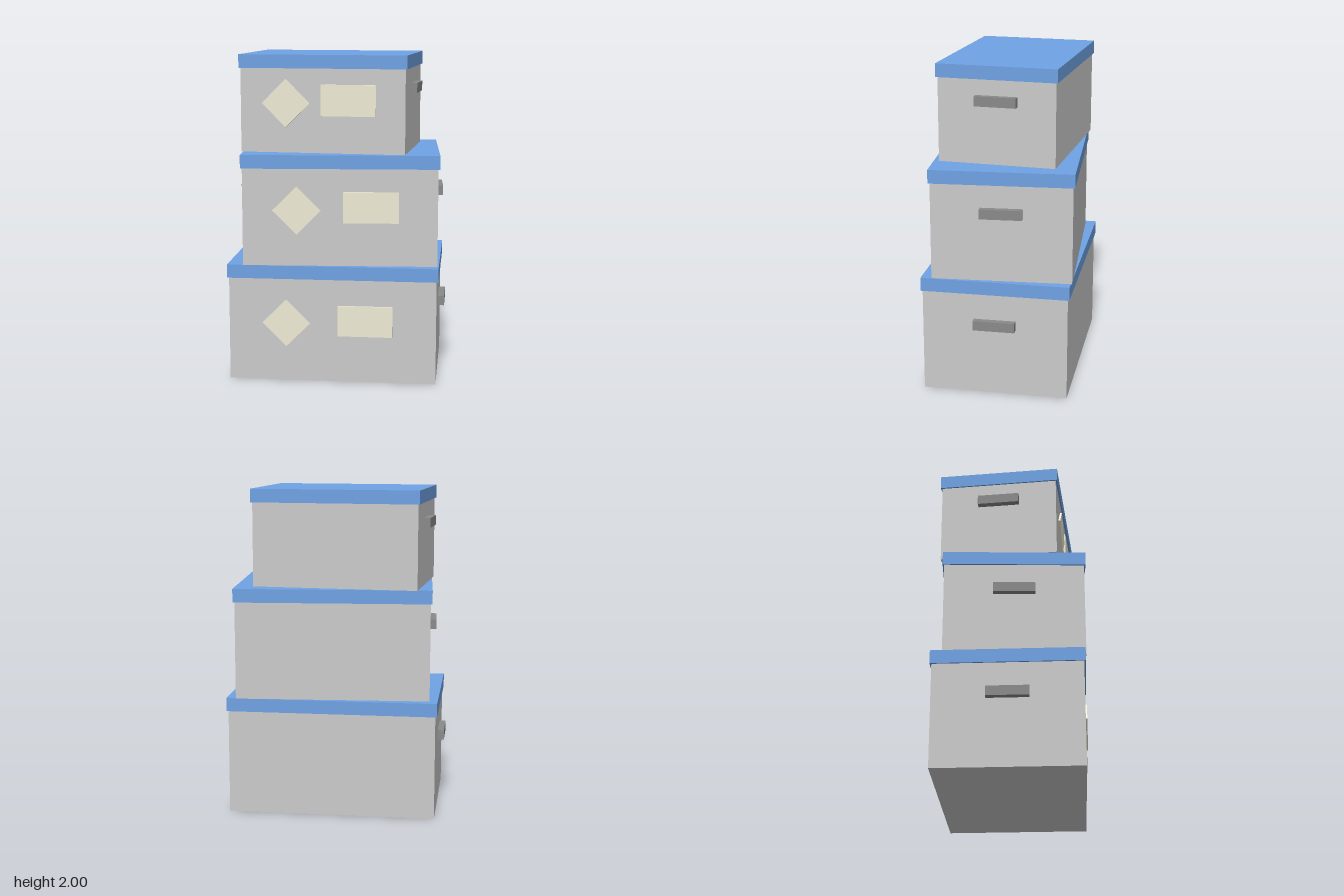
import * as THREE from 'three';

const material = (color) => new THREE.MeshStandardMaterial({ color });

export function createModel() {
  const model = new THREE.Group();
  model.name = 'stackedStorageBoxes';
  const grey = material(0xcccccc);
  const lidBlue = material(0x6fa3e4);
  const labelCream = material(0xf0ebd6);
  const handleGrey = material(0x8a8a8a);

  const addBox = (parent, name, size, position, mat) => {
    const mesh = new THREE.Mesh(new THREE.BoxGeometry(...size), mat);
    mesh.name = name;
    mesh.position.set(...position);
    parent.add(mesh);
    return mesh;
  };

  // One lidded box: y = base, h = body height, grip = height of the handles above the base
  const addCrate = ({ name, x, y, z, turn, w, h, d, lidH, grip }) => {
    const crate = new THREE.Group();
    crate.name = name;
    crate.position.set(x, y, z);
    crate.rotation.y = turn;
    model.add(crate);

    addBox(crate, 'body', [w, h, d], [0, h / 2, 0], grey);
    addBox(crate, 'lid', [w + 0.02, lidH, d + 0.02], [0, h + lidH / 2, 0], lidBlue);

    // Side handles
    for (const side of [1, -1]) {
      addBox(crate, side > 0 ? 'leftHandle' : 'rightHandle',
        [0.05, 0.06, 0.255], [side * (w / 2 + 0.015), grip, 0], handleGrey);
    }

    // Front labels: a diamond and a rectangle
    const front = d / 2 + 0.004;
    const diamond = addBox(crate, 'diamondLabel', [0.208, 0.208, 0.016],
      [-0.222 * w, grip - 0.085, front], labelCream);
    diamond.rotation.z = Math.PI / 4;
    addBox(crate, 'rectangleLabel', [0.337, 0.19, 0.016],
      [0.159 * w, grip - 0.065, front], labelCream);
  };

  addCrate({ name: 'bottomBox', x: -0.002, y: 0, z: -0.002, turn: 0,
    w: 1.275, h: 0.642, d: 0.89, lidH: 0.083, grip: 0.45 });
  addCrate({ name: 'middleBox', x: 0.018, y: 0.725, z: -0.003, turn: 0.061,
    w: 1.187, h: 0.597, d: 0.852, lidH: 0.083, grip: 0.427 });
  addCrate({ name: 'topBox', x: -0.044, y: 1.405, z: -0.024, turn: -0.08,
    w: 1.016, h: 0.513, d: 0.722, lidH: 0.082, grip: 0.387 });

  return model;
}
